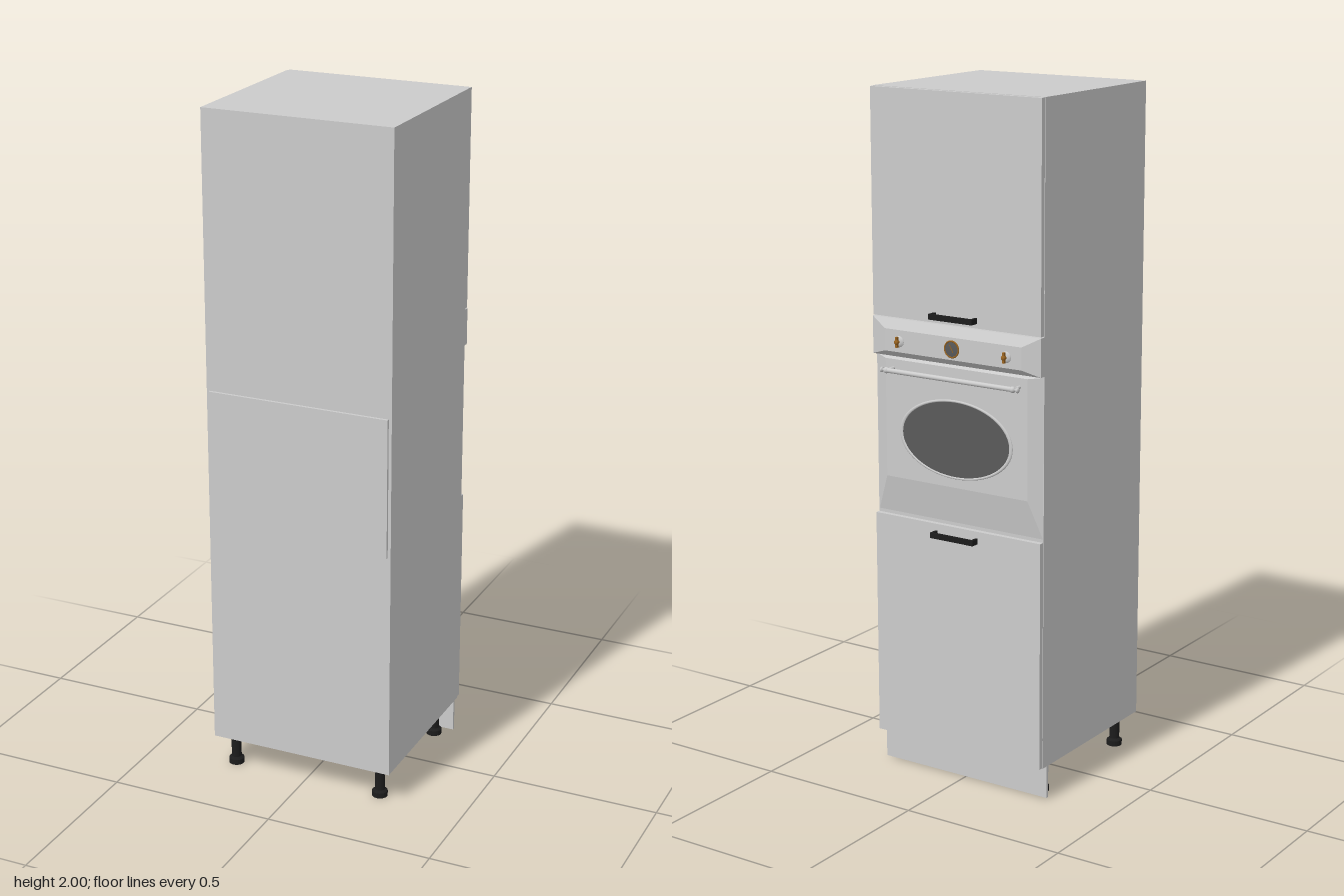
import * as THREE from 'three';

const mat = (color) => new THREE.MeshStandardMaterial({ color });
const grey = mat(0xcccccc), black = mat(0x1c1c1c), glass = mat(0x5a5a5a), brass = mat(0x9a6420);

function add(parent, name, geometry, material, x = 0, y = 0, z = 0) {
  const mesh = new THREE.Mesh(geometry, material);
  mesh.name = name;
  mesh.position.set(x, y, z);
  parent.add(mesh);
  return mesh;
}

// Box given by its limits
function box(parent, name, material, [x0, x1], [y0, y1], [z0, z1]) {
  return add(parent, name, new THREE.BoxGeometry(x1 - x0, y1 - y0, z1 - z0), material,
    (x0 + x1) / 2, (y0 + y1) / 2, (z0 + z1) / 2);
}

// Panel whose face is smaller than its base: rect = [halfWidth, bottom, top, z]
function bevelled(base, face) {
  const g = new THREE.BoxGeometry(2, 1, 1);
  const p = g.attributes.position;
  for (let i = 0; i < p.count; i++) {
    const [w, y0, y1, z] = p.getZ(i) > 0 ? face : base;
    p.setXYZ(i, p.getX(i) * w, p.getY(i) > 0 ? y1 : y0, z);
  }
  g.computeVertexNormals();
  return g;
}

// Turned part along z from [radius, z] points
function turned(points, segments = 24) {
  const profile = points.map(([r, z]) => new THREE.Vector2(r, z));
  return new THREE.LatheGeometry(profile, segments).toNonIndexed().rotateX(Math.PI / 2);
}

function pullHandle(parent, y) {
  const g = new THREE.Group();
  g.name = 'cabinetHandle';
  g.position.set(0, y, 0);
  parent.add(g);
  box(g, 'handleBar', black, [-0.073, 0.073], [-0.008, 0.008], [0.274, 0.281]);
  for (const s of [-1, 1]) {
    add(g, 'handleLeg', new THREE.BoxGeometry(0.008, 0.016, 0.024), black, s * 0.069, 0, 0.266);
  }
}

export function createModel() {
  const model = new THREE.Group();
  model.name = 'ovenCabinet';

  // Carcass, oven back and plinth
  box(model, 'carcass', grey, [-0.283, 0.283], [0.1, 2], [-0.239, 0.287]);
  box(model, 'ovenBack', grey, [-0.274, 0.274], [0.785, 1.195], [0.28, 0.295]);
  box(model, 'plinth', grey, [-0.283, 0.283], [0.003, 0.1], [-0.218, -0.209]);

  // Adjustable feet
  const foot = new THREE.LatheGeometry([
    [0, 0], [0.023, 0], [0.023, 0.016], [0.015, 0.022], [0.015, 0.078],
    [0.024, 0.086], [0.024, 0.1], [0, 0.1],
  ].map(([r, y]) => new THREE.Vector2(r, y)), 20).toNonIndexed();
  foot.computeVertexNormals();
  for (const x of [-0.235, 0.235]) {
    for (const z of [-0.172, 0.24]) add(model, 'foot', foot, black, x, 0, z);
  }

  // Everything on the door side is built towards +z, then turned to the rear
  const facade = new THREE.Group();
  facade.name = 'doorSide';
  facade.rotation.y = Math.PI;
  model.add(facade);

  box(facade, 'upperDoor', grey, [-0.282, 0.282], [1.357, 1.999], [0.24, 0.255]);
  box(facade, 'lowerDoor', grey, [-0.282, 0.282], [0.102, 0.773], [0.24, 0.255]);
  pullHandle(facade, 1.378);
  pullHandle(facade, 0.745);

  // Oven control panel with bevelled edges
  box(facade, 'controlPanelBase', grey, [-0.283, 0.283], [1.245, 1.354], [0.238, 0.256]);
  add(facade, 'controlPanel', bevelled([0.283, 1.245, 1.354, 0.256], [0.23, 1.262, 1.326, 0.272]), grey);

  // Control knobs
  for (const x of [-0.18, 0.18]) {
    add(facade, 'knobBase', turned([[0, 0.278], [0.008, 0.278], [0.016, 0.275], [0.016, 0.271]].reverse()), grey, x, 1.293);
    add(facade, 'knob', turned([[0.006, 0.275], [0.005, 0.28], [0.007, 0.287], [0.004, 0.29], [0, 0.29]]), brass, x, 1.293);
    add(facade, 'knobGrip', new THREE.BoxGeometry(0.006, 0.03, 0.009), brass, x, 1.293, 0.283);
  }

  // Clock
  add(facade, 'clockFace', turned([[0.022, 0.271], [0.022, 0.274], [0, 0.274]], 32), glass, 0, 1.293);
  add(facade, 'clockRim', new THREE.TorusGeometry(0.023, 0.0025, 8, 32), brass, 0, 1.293, 0.273);
  const hand = add(facade, 'clockHand', new THREE.BoxGeometry(0.002, 0.024, 0.001), brass, 0, 1.295, 0.275);
  hand.rotation.z = 0.5;

  // Oven door with sloping sides and foot
  add(facade, 'ovenDoor', bevelled([0.283, 0.776, 1.242, 0.238], [0.24, 0.89, 1.236, 0.256]), grey);

  // Oval window and its frame
  const pane = add(facade, 'windowGlass', new THREE.CircleGeometry(1, 64), glass, 0, 1.03, 0.2572);
  pane.scale.set(0.184, 0.109, 1);
  const frame = add(facade, 'windowFrame', new THREE.TorusGeometry(1, 0.032, 10, 64), grey, 0, 1.03, 0.256);
  frame.scale.set(0.186, 0.111, 0.1);

  // Door rail with turned ends and brackets
  const rail = add(facade, 'ovenRail', new THREE.CylinderGeometry(0.007, 0.007, 0.42, 20), grey, 0, 1.21, 0.289);
  rail.rotation.z = Math.PI / 2;
  for (const s of [-1, 1]) {
    const post = add(facade, 'railPost', new THREE.CylinderGeometry(0.004, 0.005, 0.034, 16), grey, s * 0.213, 1.21, 0.271);
    post.rotation.x = Math.PI / 2;
    add(facade, 'railJoint', new THREE.SphereGeometry(0.009, 20, 14), grey, s * 0.213, 1.21, 0.289);
    const neck = add(facade, 'railNeck', new THREE.CylinderGeometry(0.004, 0.004, 0.014, 16), grey, s * 0.223, 1.21, 0.289);
    neck.rotation.z = Math.PI / 2;
    const tip = add(facade, 'railFinial', new THREE.SphereGeometry(0.008, 20, 14), grey, s * 0.229, 1.21, 0.289);
    tip.scale.x = 0.6;
  }
  return model;
}
